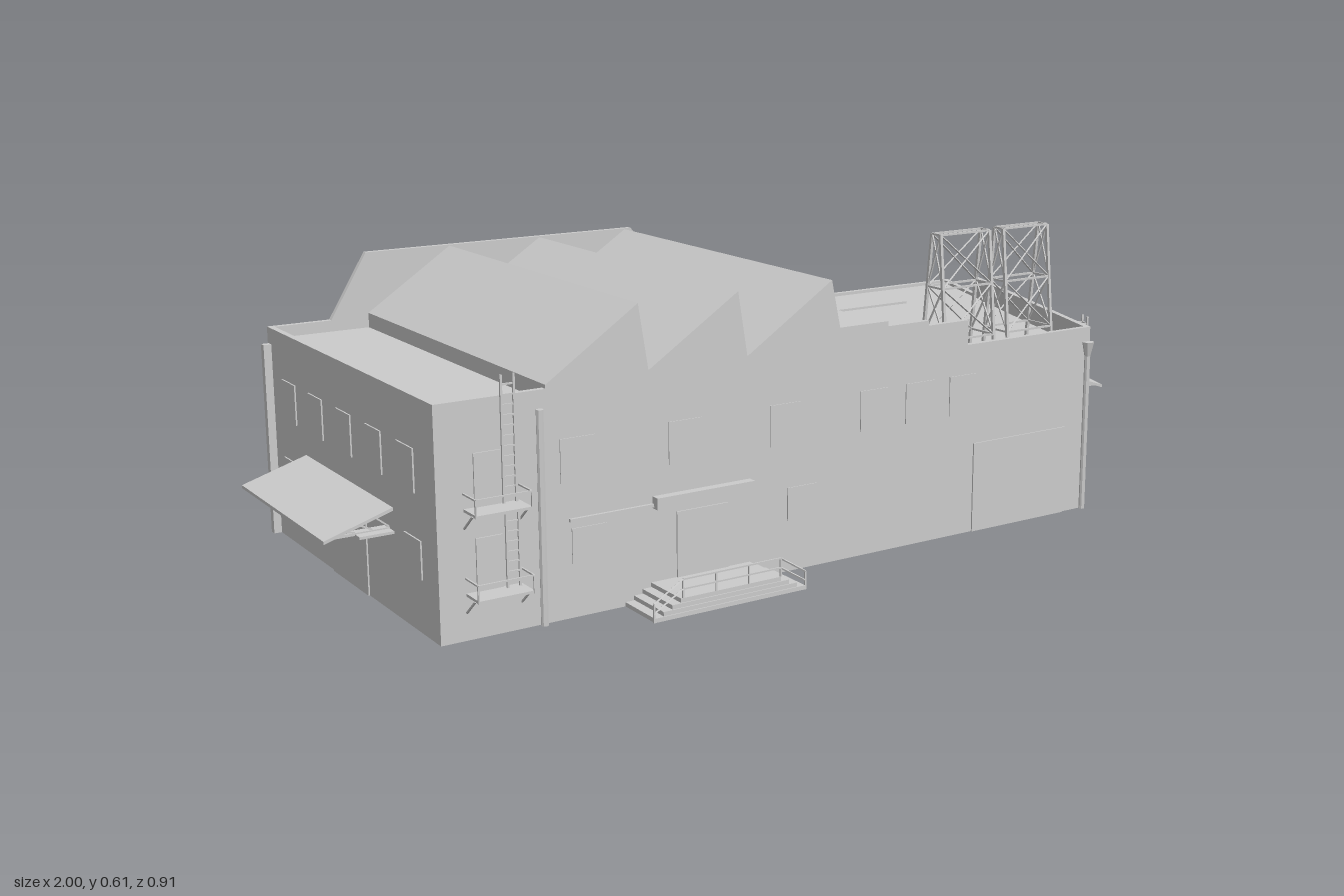
import * as THREE from 'three';

const mat = new THREE.MeshStandardMaterial({ color: 0xcccccc, flatShading: true, side: THREE.DoubleSide });
const V = (x, y, z) => new THREE.Vector3(x, y, z);

function add(parent, name, geo) {
  const m = new THREE.Mesh(geo, mat);
  m.name = name;
  parent.add(m);
  return m;
}
function group(parent, name, x = 0, z = 0, ry = 0) {
  const g = new THREE.Group();
  g.name = name;
  g.position.set(x, 0, z);
  g.rotation.y = ry;
  parent.add(g);
  return g;
}
// box given by its limits on each axis
function box(parent, name, x0, x1, y0, y1, z0, z1) {
  const g = new THREE.BoxGeometry(x1 - x0, y1 - y0, z1 - z0);
  g.translate((x0 + x1) / 2, (y0 + y1) / 2, (z0 + z1) / 2);
  return add(parent, name, g);
}
// square bar between two points
function bar(parent, name, a, b, t = 0.004) {
  const m = add(parent, name, new THREE.BoxGeometry(t, t, a.distanceTo(b)));
  m.position.copy(a).lerp(b, 0.5);
  m.quaternion.setFromUnitVectors(V(0, 0, 1), b.clone().sub(a).normalize());
  return m;
}
function pipe(parent, name, x, z, h, r = 0.007) {
  const g = new THREE.CylinderGeometry(r, r, h, 8);
  g.translate(x, h / 2, z);
  add(parent, name, g);
}
// upright wall with an outline in (u, y), outer face at local z = 0
function wall(parent, name, outline, t = 0.012) {
  const s = new THREE.Shape(outline.map(p => new THREE.Vector2(...p)));
  const g = new THREE.ExtrudeGeometry(s, { depth: t, bevelEnabled: false });
  g.translate(0, 0, -t);
  add(parent, name, g);
}
// sheet following an (x, y) line, swept from zBack to zFront
function sheet(parent, name, line, zBack, zFront) {
  const pos = [];
  for (let i = 0; i + 1 < line.length; i++) {
    const [[x0, y0], [x1, y1]] = [line[i], line[i + 1]];
    pos.push(x0, y0, zFront, x1, y1, zFront, x1, y1, zBack, x0, y0, zFront, x1, y1, zBack, x0, y0, zBack);
  }
  const g = new THREE.BufferGeometry();
  g.setAttribute('position', new THREE.Float32BufferAttribute(pos, 3));
  g.computeVertexNormals();
  add(parent, name, g);
}
const panel = (parent, name, u0, u1, y0, y1, d = 0.003) => box(parent, name, u0, u1, y0, y1, -0.001, d);

// sloping canopy on a wall, with a triangular truss at each support
function canopy(parent, u0, u1, yWall, yTip, depth, count) {
  const c = group(parent, 'canopy');
  const s = new THREE.Shape();
  s.moveTo(0, yWall).lineTo(depth, yTip).lineTo(depth, yTip - 0.006).lineTo(0, yWall - 0.006);
  const g = new THREE.ExtrudeGeometry(s, { depth: u1 - u0, bevelEnabled: false });
  g.rotateY(-Math.PI / 2).translate(u1, 0, 0);
  add(c, 'canopyRoof', g);
  for (let i = 0; i < count; i++) {
    const u = u0 + 0.02 + (u1 - u0 - 0.04) * i / (count - 1);
    bar(c, 'canopyTie', V(u, yTip - 0.003, 0), V(u, yTip - 0.003, depth), 0.005);
    for (let k = 0; k < 3; k++) {
      const w = depth * k / 4, top = yWall + (yTip - yWall) * (k + 1) / 4 - 0.004;
      bar(c, 'canopyStrut', V(u, yTip, w), V(u, top, depth * (k + 1) / 4), 0.003);
    }
    box(c, 'canopyFoot', u - 0.022, u + 0.022, yTip - 0.008, yTip - 0.003, 0, depth * 0.5);
  }
}
function ladder(parent, u, y0, y1, w) {
  const l = group(parent, 'ladder');
  for (const s of [-1, 1]) bar(l, 'ladderRail', V(u + s * 0.012, y0, w), V(u + s * 0.012, y1, w));
  for (let y = y0 + 0.01; y < y1; y += 0.018) bar(l, 'ladderRung', V(u - 0.012, y, w), V(u + 0.012, y, w), 0.003);
}

export function createModel() {
  const root = new THREE.Group();
  root.name = 'factory';

  // saw-tooth roof line shared by the front wall and the roof
  const teeth = [[-0.66, 0.43], [-0.475, 0.553], [-0.455, 0.43], [-0.265, 0.553], [-0.245, 0.43], [-0.055, 0.553], [-0.035, 0.43]];

  // walls
  const front = group(root, 'frontSide', 0, 0.35);
  wall(front, 'frontWall', [[-0.87, 0], [0.61, 0], [0.61, 0.39], [0.28, 0.39], [0.28, 0.44], [0.18, 0.44], [0.18, 0.45],
    [0.08, 0.45], [0.08, 0.46], [-0.035, 0.46], ...teeth.slice(1, 6).reverse(), [-0.66, 0.43], [-0.66, 0.423], [-0.87, 0.423]]);
  const back = group(root, 'backSide', 0, -0.428);
  wall(back, 'backWall', [[-0.87, 0], [0.875, 0], [0.875, 0.35], [0.28, 0.35], [0.28, 0.42], [0.08, 0.42], [-0.04, 0.555],
    [-0.66, 0.555], [-0.74, 0.423], [-0.87, 0.423]]);
  const left = group(root, 'canopySideWest', -0.87, 0, -Math.PI / 2);
  wall(left, 'westWall', [[-0.44, 0], [0.35, 0], [0.35, 0.423], [-0.44, 0.423]]);
  const right = group(root, 'slantedSide', 0.61, 0.35, Math.atan2(0.79, 0.265));
  wall(right, 'slantedWall', [[0, 0], [0.833, 0], [0.833, 0.35], [0.628, 0.35], [0.628, 0.39], [0, 0.39]]);

  // roofs
  sheet(root, 'sawToothRoof', [[-0.865, 0.4], [-0.66, 0.4], ...teeth, [-0.035, 0.41], [0.22, 0.41], [0.22, 0.343]], -0.43, 0.345);
  const low = new THREE.Shape();
  low.moveTo(0.22, 0.43).lineTo(0.865, 0.43).lineTo(0.605, -0.345).lineTo(0.22, -0.345);
  add(root, 'lowRoof', new THREE.ShapeGeometry(low).rotateX(-Math.PI / 2).translate(0, 0.343, 0));
  for (const z of [-0.06, -0.31]) box(root, 'skylight', 0.41, 0.61, 0.342, 0.348, z - 0.045, z + 0.045);

  // front openings, sign bar and conduit
  panel(front, 'loadingDoor', 0.3, 0.545, 0, 0.185);
  for (const x of [-0.6, -0.38, -0.16, 0.05, 0.16, 0.27]) panel(front, 'frontWindow', x - 0.035, x + 0.035, 0.25, 0.33, 0.002);
  for (const x of [-0.58, -0.12]) panel(front, 'lowerWindow', x - 0.035, x + 0.035, 0.1, 0.165, 0.002);
  panel(front, 'entryDoor', -0.4, -0.29, 0.035, 0.16);
  box(front, 'entryHood', -0.45, -0.24, 0.175, 0.197, 0, 0.018);
  box(front, 'conduit', -0.62, -0.45, 0.178, 0.184, 0, 0.006);

  // entry platform with steps at both ends and railings
  const dock = group(front, 'entryPlatform');
  for (let i = 0; i < 4; i++) {
    const e = i * 0.018, y = 0.035 - i * 0.009;
    box(dock, 'platformStep', -0.455 - e, -0.24 + e, y - 0.008, y, 0, 0.104);
  }
  const rail = [[-0.51, 0.035], [-0.45, 0.07], [-0.24, 0.07], [-0.185, 0.035]];
  for (let i = 0; i < 3; i++) {
    const [a, b] = [rail[i], rail[i + 1]];
    for (const d of [0, 0.018]) bar(dock, 'platformRail', V(a[0], a[1] - d, 0.103), V(b[0], b[1] - d, 0.103), 0.003);
  }
  for (const [x, y] of [...rail, [-0.38, 0.07], [-0.31, 0.07]]) bar(dock, 'railPost', V(x, Math.max(0, y - 0.035), 0.103), V(x, y, 0.103), 0.003);

  // escape balconies and their ladders
  for (const y of [0.08, 0.23]) {
    const b = group(front, 'balcony');
    box(b, 'balconyFloor', -0.82, -0.715, y, y + 0.005, 0, 0.05);
    for (const x of [-0.82, -0.715]) {
      bar(b, 'balconyPost', V(x, y, 0.049), V(x, y + 0.032, 0.049), 0.003);
      bar(b, 'balconySideRail', V(x, y + 0.032, 0), V(x, y + 0.032, 0.049), 0.003);
      bar(b, 'balconyBrace', V(x, y - 0.03, 0), V(x, y, 0.035), 0.003);
    }
    bar(b, 'balconyFrontRail', V(-0.82, y + 0.032, 0.049), V(-0.715, y + 0.032, 0.049), 0.003);
    panel(b, 'balconyDoor', -0.8, -0.75, y + 0.005, y + 0.1);
  }
  ladder(front, -0.735, 0.085, 0.23, 0.012);
  ladder(front, -0.735, 0.235, 0.46, 0.006);

  // rain pipes
  pipe(front, 'rainPipe', -0.675, 0.006, 0.39);
  pipe(front, 'rainPipe', 0.6, 0.005, 0.35, 0.006);
  add(front, 'rainHopper', new THREE.CylinderGeometry(0.013, 0.006, 0.03, 8).translate(0.6, 0.345, 0.005));
  box(back, 'rainPipe', 0.182, 0.198, 0, 0.385, -0.028, -0.01);
  box(left, 'rainPipe', -0.435, -0.42, 0, 0.39, 0, 0.016);

  // slanted side: windows, door, step, canopy and roof ladder
  const u = z => (0.35 - z) / 0.948;
  for (const z of [0.225, 0.095, -0.03, -0.145]) panel(right, 'upperWindow', u(z + 0.031), u(z - 0.031), 0.255, 0.338);
  panel(right, 'smallWindow', u(0.13), u(0.065), 0.15, 0.185);
  panel(right, 'stripWindow', u(-0.12), u(-0.395), 0.15, 0.185);
  panel(right, 'sideDoor', u(0.05), u(-0.105), 0.03, 0.185);
  box(right, 'doorStep', u(0.06), u(-0.11), 0.015, 0.03, 0, 0.012);
  canopy(right, u(0.155), u(-0.425), 0.252, 0.212, 0.132, 4);
  ladder(right, u(0.288), 0.195, 0.4, 0.018);
  for (const y of [0.2, 0.3, 0.385]) for (const s of [-0.012, 0.012]) bar(right, 'ladderBracket', V(u(0.288) + s, y, 0), V(u(0.288) + s, y, 0.018), 0.003);

  // west side: windows, door and canopy
  for (const z of [-0.33, -0.19, -0.05, 0.09, 0.23]) panel(left, 'upperWindow', z - 0.035, z + 0.035, 0.25, 0.33);
  for (const z of [-0.34, 0.25]) panel(left, 'lowerWindow', z - 0.035, z + 0.035, 0.1, 0.17);
  panel(left, 'westDoor', -0.13, 0.04, 0, 0.15);
  canopy(left, -0.255, 0.165, 0.2, 0.16, 0.13, 4);

  // pair of braced lattice towers on the low roof
  for (const [x0, x1] of [[0.257, 0.383], [0.42, 0.538]]) {
    const t = group(root, 'latticeTower');
    const P = (x, k, s) => V(x, [0.393, 0.496, 0.603][k], 0.272 + s * [0.035, 0.024, 0.013][k]);
    for (const s of [-1, 1]) {
      for (const x of [x0, x1]) {
        bar(t, 'towerLeg', V(x, 0.343, 0.272 + s * 0.04), P(x, 2, s), 0.006);
        box(t, 'towerFoot', x - 0.008, x + 0.008, 0.343, 0.349, 0.264 + s * 0.04, 0.28 + s * 0.04);
      }
      for (let k = 0; k < 3; k++) bar(t, 'towerBeam', P(x0, k, s), P(x1, k, s));
      for (let k = 0; k < 2; k++) {
        bar(t, 'towerBrace', P(x0, k, s), P(x1, k + 1, s), 0.003);
        bar(t, 'towerBrace', P(x1, k, s), P(x0, k + 1, s), 0.003);
        for (const x of [x0, x1]) bar(t, 'towerSideBrace', P(x, k, s), P(x, k + 1, -s), 0.003);
      }
    }
    for (const x of [x0, x1]) for (let k = 0; k < 3; k++) bar(t, 'towerTie', P(x, k, -1), P(x, k, 1));
  }
  return root;
}
